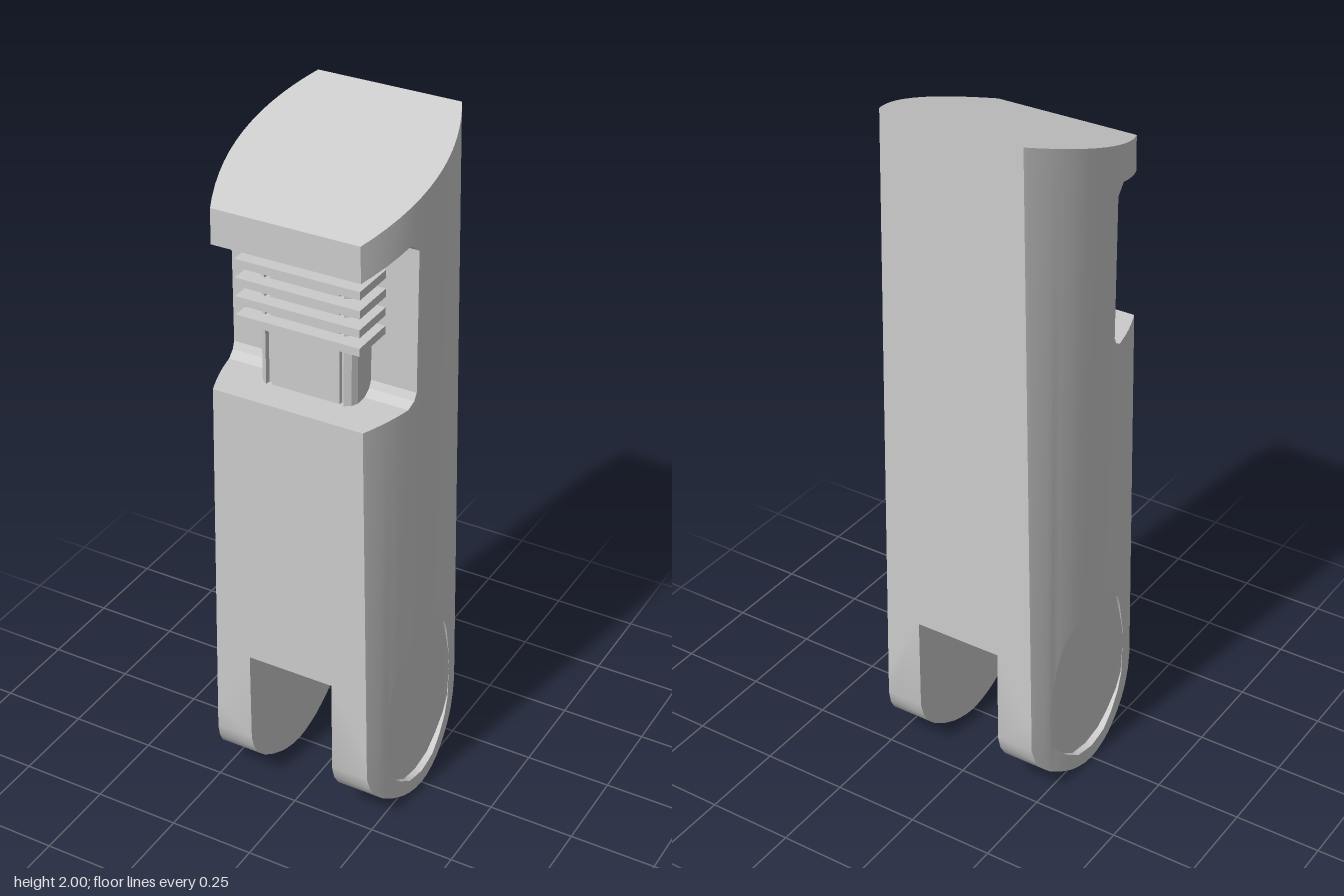
import * as THREE from 'three';
import { toCreasedNormals } from 'three/addons/utils/BufferGeometryUtils.js';

const DEPTH = 0.265;          // half depth of the body
const SLOT_X = 0.13, SLOT_Y = 0.475;
const DISH_X = 0.256;         // floor of the side recess
const NOTCH_Z = 0.075;        // back wall of the front notch

// Piecewise linear lookup through [t, value] points
function lerpAt(points, t) {
  for (let i = 1; i < points.length; i++) {
    const [t0, v0] = points[i - 1], [t1, v1] = points[i];
    if (t <= t1 + 1e-9) return v0 + (v1 - v0) * Math.max(0, (t - t0) / (t1 - t0));
  }
  return points[points.length - 1][1];
}

const FOOT = [[0, 0], [0.05, 0.005], [0.1, 0.022], [0.15, 0.047], [0.2, 0.08], [0.23, 0.11], [0.252, 0.145], [DEPTH, 0.19]];
const DISH_TOP = [[0, 0.54], [0.07, 0.53], [0.12, 0.505], [0.15, 0.47], [0.165, 0.43], [0.19, 0.34], [0.197, 0.28]];
const DISH_BOTTOM = [[0, 0.043], [0.07, 0.055], [0.12, 0.088], [0.165, 0.13], [0.19, 0.175], [0.197, 0.28]];
const LEDGE = [[NOTCH_Z, 1.345], [0.085, 1.325], [0.11, 1.31], [DEPTH, 1.31]];
const CAP_UNDER = [[NOTCH_Z, 1.75], [0.11, 1.775], [DEPTH, 1.73]];

const slantTop = (z) => 1.915 - 0.32 * z;

// Half width: bulged across the depth, edges tapering upward
function halfWidth(z, y) {
  const edge = 0.245 - 0.0185 * y;
  return 0.277 - (0.277 - edge) * (z / DEPTH) ** 2;
}

// Mirrors a right-hand outline into a closed section
const mirror = (half) => [...half, ...half.slice().reverse().map(([x, y]) => [-x, y])];

function bodySection(z, top) {
  const a = Math.abs(z);
  const foot = lerpAt(FOOT, a), hi = lerpAt(DISH_TOP, a), lo = lerpAt(DISH_BOTTOM, a);
  const floor = (y) => (hi > lo ? Math.min(DISH_X, halfWidth(z, y)) : halfWidth(z, y));
  return mirror([
    [halfWidth(z, top), top],
    [halfWidth(z, hi), hi], [floor(hi), hi],
    [floor(lo), lo], [halfWidth(z, lo), lo],
    [halfWidth(z, foot), foot], [SLOT_X, foot], [SLOT_X, SLOT_Y],
  ]);
}

function capSection(z) {
  const top = slantTop(z), under = lerpAt(CAP_UNDER, z);
  return mirror([[halfWidth(z, top), top], [halfWidth(z, under), under]]);
}

// Skins a row of { z, points } sections and closes both ends
function loft(sections) {
  const pos = [];
  const A = new THREE.Vector3(), B = new THREE.Vector3();
  const tri = (p, q, r) => {
    A.subVectors(q, p); B.subVectors(r, p);
    if (A.cross(B).length() > 1e-8) pos.push(...p.toArray(), ...q.toArray(), ...r.toArray());
  };
  const rows = sections.map(({ z, points }) => points.map(([x, y]) => new THREE.Vector3(x, y, z)));
  for (let i = 0; i + 1 < rows.length; i++) {
    const n = rows[i].length;
    for (let j = 0; j < n; j++) {
      const k = (j + 1) % n;
      const a = rows[i][j], b = rows[i][k], c = rows[i + 1][k], d = rows[i + 1][j];
      tri(a, c, b);
      tri(a, d, c);
    }
  }
  for (const [row, dir] of [[rows[0], -1], [rows[rows.length - 1], 1]]) {
    const flat = row.map((p) => new THREE.Vector2(p.x, p.y));
    for (const [i, j, k] of THREE.ShapeUtils.triangulateShape(flat, [])) {
      const turn = flat[j].clone().sub(flat[i]).cross(flat[k].clone().sub(flat[i]));
      if (turn * dir > 0) tri(row[i], row[j], row[k]);
      else tri(row[i], row[k], row[j]);
    }
  }
  const geo = new THREE.BufferGeometry();
  geo.setAttribute('position', new THREE.Float32BufferAttribute(pos, 3));
  return toCreasedNormals(geo, 0.42);
}

export function createModel() {
  const group = new THREE.Group();
  const grey = new THREE.MeshStandardMaterial({ color: 0xcccccc });
  const add = (name, geometry, parent = group) => {
    const mesh = new THREE.Mesh(geometry, grey);
    mesh.name = name;
    parent.add(mesh);
    return mesh;
  };

  // Main body with forked foot, side recesses and front ledge
  const half = [0.035, 0.07, 0.1, 0.12, 0.15, 0.165, 0.19, 0.197, 0.215, 0.23, 0.252, DEPTH];
  const back = [...half.map((z) => -z).reverse(), 0, 0.035, 0.07, NOTCH_Z];
  const front = [NOTCH_Z, 0.085, 0.1, 0.11, ...half.filter((z) => z > 0.11)];
  add('body', loft([
    ...back.map((z) => ({ z, points: bodySection(z, slantTop(z)) })),
    ...front.map((z) => ({ z, points: bodySection(z, lerpAt(LEDGE, z)) })),
  ]));

  // Slanted cap overhanging the notch
  add('cap', loft([NOTCH_Z, 0.11, 0.15, 0.19, 0.23, DEPTH].map((z) => ({ z, points: capSection(z) }))));

  // Post inside the notch, with two raised ribs beside a flat panel
  const rib = [[0.14, 0.06], [0.14, 0.145], [0.132, 0.163], [0.115, 0.174], [0.113, 0.16], [0.102, 0.16], [0.1, 0.17]];
  const outline = new THREE.Shape(mirror(rib).map(([x, z]) => new THREE.Vector2(x, -z)));
  const post = new THREE.ExtrudeGeometry(outline, { depth: 0.46, bevelEnabled: false });
  post.rotateX(-Math.PI / 2).translate(0, 1.3, 0);
  add('post', post);

  // Stack of thin fins
  const fins = new THREE.Group();
  fins.name = 'fins';
  group.add(fins);
  for (let i = 0; i < 5; i++) {
    add('fin', new THREE.BoxGeometry(0.36, 0.023, 0.14), fins).position.set(0, 1.503 + i * 0.053, 0.14);
  }
  return group;
}
